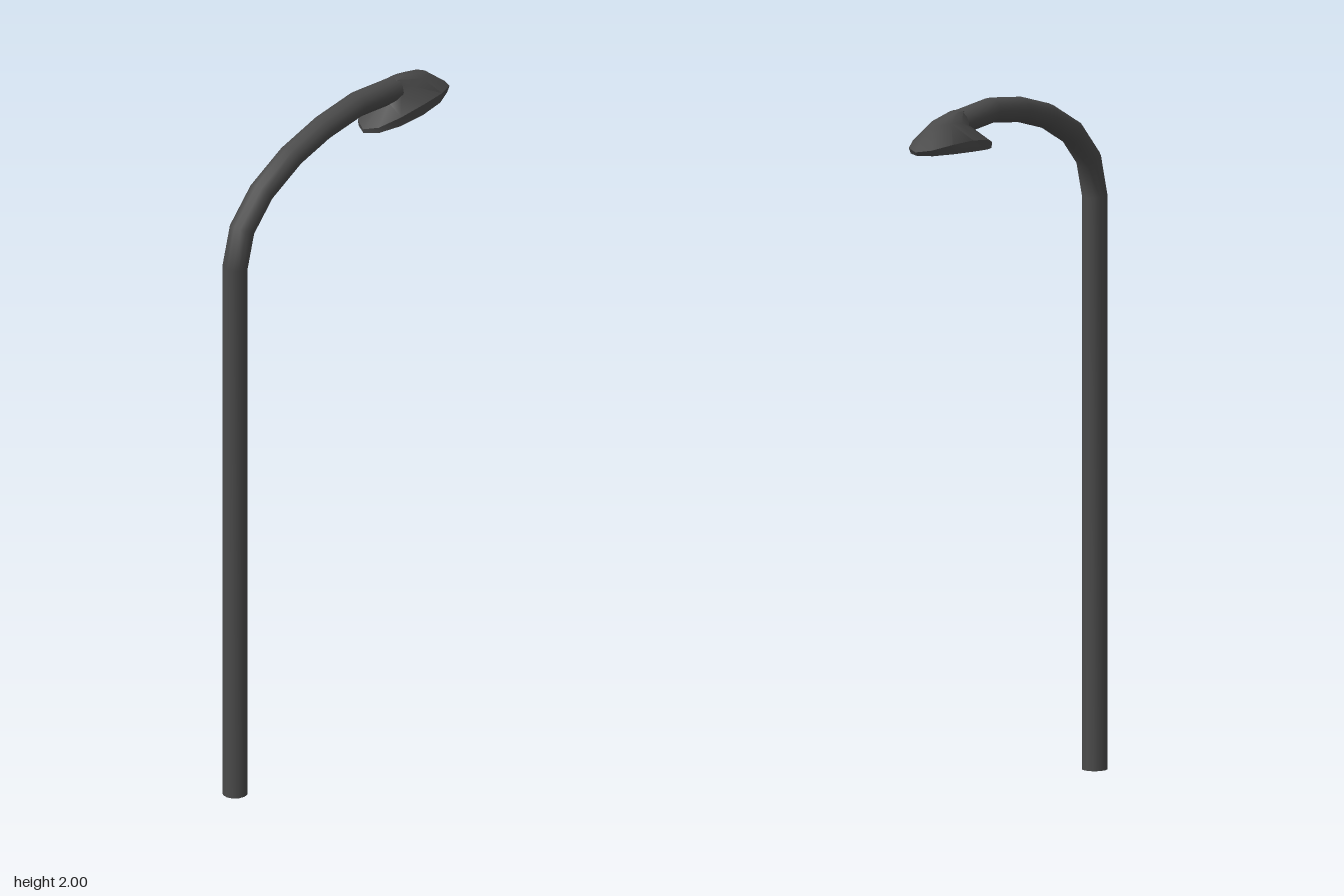
import * as THREE from 'three';
import { toCreasedNormals } from 'three/addons/utils/BufferGeometryUtils.js';

const SIDES = 12;

// Joins successive rings of SIDES points into one surface.
function skin(rings) {
  const index = [];
  for (let i = 0; i < rings.length - 1; i++) {
    for (let j = 0; j < SIDES; j++) {
      const a = i * SIDES + j, b = i * SIDES + (j + 1) % SIDES;
      index.push(a, b, a + SIDES, b, b + SIDES, a + SIDES);
    }
  }
  const geometry = new THREE.BufferGeometry();
  geometry.setAttribute('position', new THREE.Float32BufferAttribute(rings.flat(2), 3));
  geometry.setIndex(index);
  geometry.computeVertexNormals();
  return geometry;
}

function ring(pointAt) {
  return Array.from({ length: SIDES }, (_, j) => {
    const a = (j / SIDES) * Math.PI * 2;
    return pointAt(Math.cos(a), Math.sin(a));
  });
}

// Round pipe along a path in the xy plane, mitred at each bend.
function pipe(path, radius) {
  const pts = path.map(([x, y]) => new THREE.Vector2(x, y));
  return skin(pts.map((p, i) => {
    const before = p.clone().sub(pts[Math.max(i - 1, 0)]).normalize();
    const after = pts[Math.min(i + 1, pts.length - 1)].clone().sub(p).normalize();
    const t = before.clone().add(after).normalize();
    const miter = radius / Math.max(t.dot(i ? before : after), 0.7);
    return ring((c, s) => [p.x - t.y * miter * c, p.y + t.x * miter * c, radius * s]);
  }));
}

// Oval from x0 (rear) to x1 (tip), with heights at the rear, middle and tip.
function oval([x0, x1, halfWidth, yRear, yMid, yTip]) {
  return ring((c, s) => [
    (x0 + x1) / 2 + (x1 - x0) / 2 * c,
    yMid + (yTip - yRear) / 2 * c + ((yTip + yRear) / 2 - yMid) * c * c,
    -halfWidth * s,
  ]);
}

export function createModel() {
  const group = new THREE.Group();
  const material = new THREE.MeshStandardMaterial({ color: 0x4a4a4a, side: THREE.DoubleSide });
  const add = (name, geometry) => {
    const mesh = new THREE.Mesh(geometry, material);
    mesh.name = name;
    group.add(mesh);
  };

  // Upright pole curving over into the arm, open at the foot
  add('poleAndArm', pipe([
    [-0.43, 0], [-0.43, 1.645], [-0.4, 1.753], [-0.317, 1.84], [-0.19, 1.907],
    [-0.055, 1.946], [0.09, 1.966], [0.25, 1.955],
  ], 0.036));

  // Lamp head: hollow underside, rim, side wall, shoulder and ridge
  add('lampHead', toCreasedNormals(skin([
    [0.29, 0.29, 0, 1.912, 1.912, 1.912],
    [0.19, 0.39, 0.045, 1.9, 1.91, 1.908],
    [0.135, 0.445, 0.069, 1.872, 1.89, 1.893],
    [0.118, 0.455, 0.076, 1.866, 1.885, 1.89],
    [0.116, 0.465, 0.078, 1.878, 1.918, 1.902],
    [0.195, 0.38, 0.038, 1.925, 1.962, 1.966],
    [0.2, 0.3, 0.016, 1.975, 1.989, 1.984],
    [0.25, 0.25, 0, 1.991, 1.991, 1.991],
  ].map(oval)), 0.75));

  return group;
}
